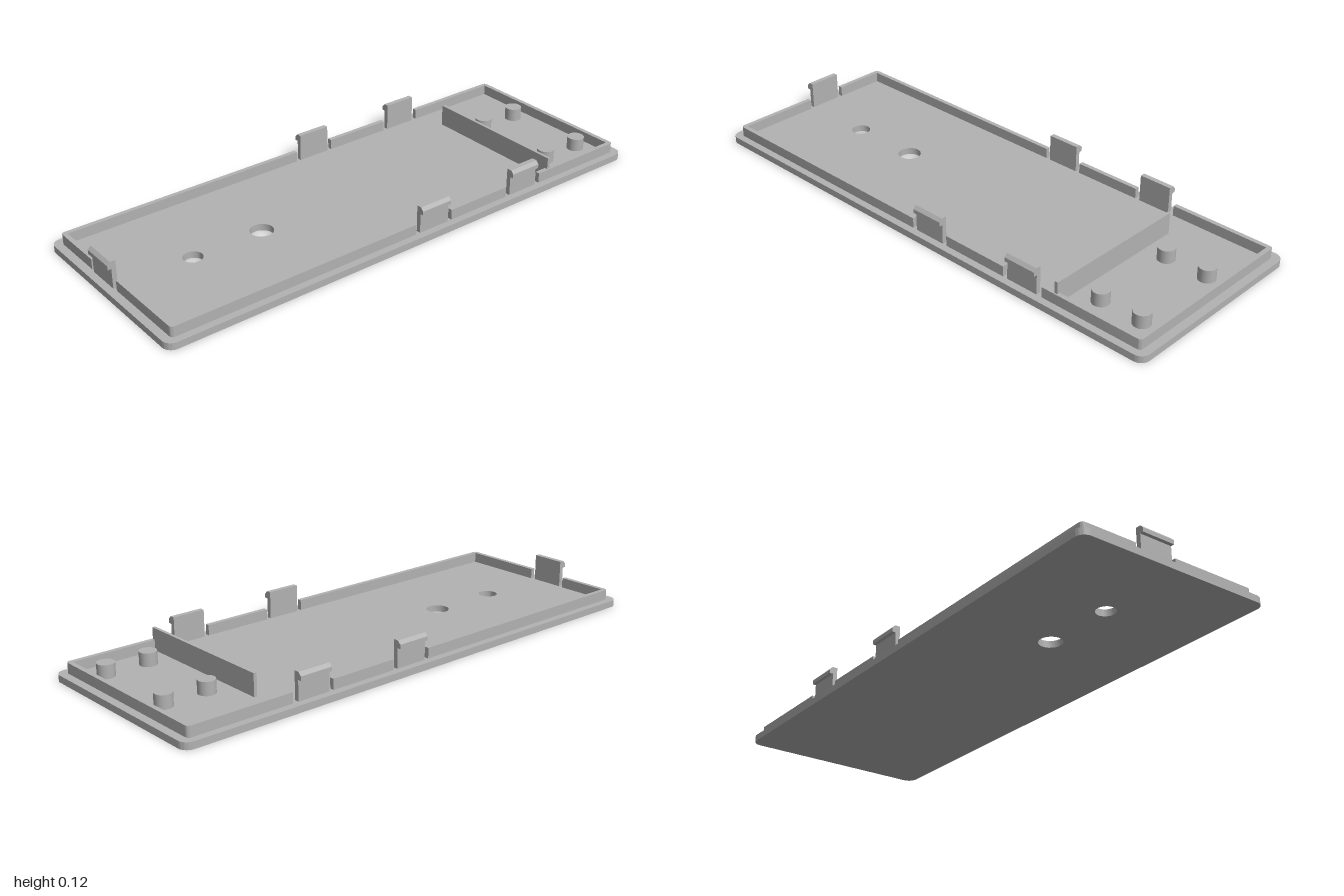
import * as THREE from 'three';
import { toCreasedNormals } from 'three/addons/utils/BufferGeometryUtils.js';

const BASE = 0.025, RIM_TOP = 0.063;
const RX = 0.97, RZ = 0.348, WALL = 0.017;

export function createModel() {
  const group = new THREE.Group();
  const grey = new THREE.MeshStandardMaterial({ color: 0xb2b2b2 });
  grey.name = 'grey plastic';

  const add = (name, geometry, x = 0, y = 0, z = 0) => {
    const mesh = new THREE.Mesh(geometry, grey);
    mesh.name = name;
    mesh.position.set(x, y, z);
    group.add(mesh);
    return mesh;
  };
  // Flat outline (shape y points to the back) raised upwards
  const slab = (shape, depth) => toCreasedNormals(
    new THREE.ExtrudeGeometry(shape, { depth, bevelEnabled: false, curveSegments: 12 })
      .rotateX(-Math.PI / 2), 0.6);
  const box = (name, x0, x1, y0, y1, z0, z1) => add(name,
    new THREE.BoxGeometry(x1 - x0, y1 - y0, z1 - z0),
    (x0 + x1) / 2, (y0 + y1) / 2, (z0 + z1) / 2);

  // Base plate with rounded corners and two round holes
  const r = 0.035, w = 1, d = 0.375;
  const plate = new THREE.Shape();
  plate.absarc(w - r, d - r, r, 0, Math.PI / 2);
  plate.absarc(-w + r, d - r, r, Math.PI / 2, Math.PI);
  plate.absarc(-w + r, -d + r, r, Math.PI, Math.PI * 1.5);
  plate.absarc(w - r, -d + r, r, Math.PI * 1.5, Math.PI * 2);
  plate.closePath();
  for (const [x, radius] of [[-0.675, 0.035], [-0.4, 0.042]]) {
    const hole = new THREE.Path();
    hole.absarc(x, 0, radius, 0, Math.PI * 2, true);
    plate.holes.push(hole);
  }
  add('basePlate', slab(plate, BASE));

  // L-shaped rim corners: sx, sy choose the corner, xEnd and yEnd are the free ends
  const rimCorner = (name, sx, sy, xEnd, yEnd) => {
    const X = sx * RX, Y = sy * RZ, c = 0.015;
    const xi = X - sx * WALL, yi = Y - sy * WALL;
    const s = new THREE.Shape();
    s.moveTo(xEnd, Y);
    s.lineTo(X - sx * c, Y);
    s.quadraticCurveTo(X, Y, X, Y - sy * c);
    s.lineTo(X, yEnd);
    s.lineTo(xi, yEnd);
    s.lineTo(xi, yi);
    s.lineTo(xEnd, yi);
    s.closePath();
    add(name, slab(s, RIM_TOP - BASE), 0, BASE, 0);
  };
  rimCorner('rimLeftBack', -1, 1, -0.008, 0.139);
  rimCorner('rimLeftFront', -1, -1, -0.008, -0.021);
  rimCorner('rimRightBack', 1, 1, 0.577, 0);
  rimCorner('rimRightFront', 1, -1, 0.577, 0);
  for (const s of [-1, 1]) {
    const a = s * RZ, b = s * (RZ - WALL);
    box('rimMiddle', 0.152, 0.412, BASE, RIM_TOP, Math.min(a, b), Math.max(a, b));
  }

  // Snap clips: hooked profile, x outward from the wall's outer face
  const profile = new THREE.Shape([
    [-WALL, BASE], [0, BASE], [0, 0.098], [0.013, 0.098], [0.013, 0.113],
    [0.002, 0.125], [-WALL, 0.125],
  ].map(([x, y]) => new THREE.Vector2(x, y)));
  const clipWidth = 0.126;
  const clipGeometry = new THREE.ExtrudeGeometry(profile, { depth: clipWidth, bevelEnabled: false })
    .translate(0, 0, -clipWidth / 2);
  for (const x of [0.072, 0.493]) {
    for (const s of [-1, 1]) {
      add('snapClip', clipGeometry, x, 0, s * RZ).rotation.y = -s * Math.PI / 2;
    }
  }
  add('endSnapClip', clipGeometry, -RX - 0.003, 0, -0.059).rotation.y = Math.PI;

  // Divider wall
  box('divider', 0.625, 0.637, BASE, 0.106, -0.228, 0.342);

  // Four support pegs
  const pegHeight = 0.073 - BASE;
  const pegGeometry = new THREE.CylinderGeometry(0.031, 0.031, pegHeight, 32);
  for (const x of [0.725, 0.887]) {
    for (const z of [-0.098, 0.237]) add('peg', pegGeometry, x, BASE + pegHeight / 2, z);
  }

  return group;
}
